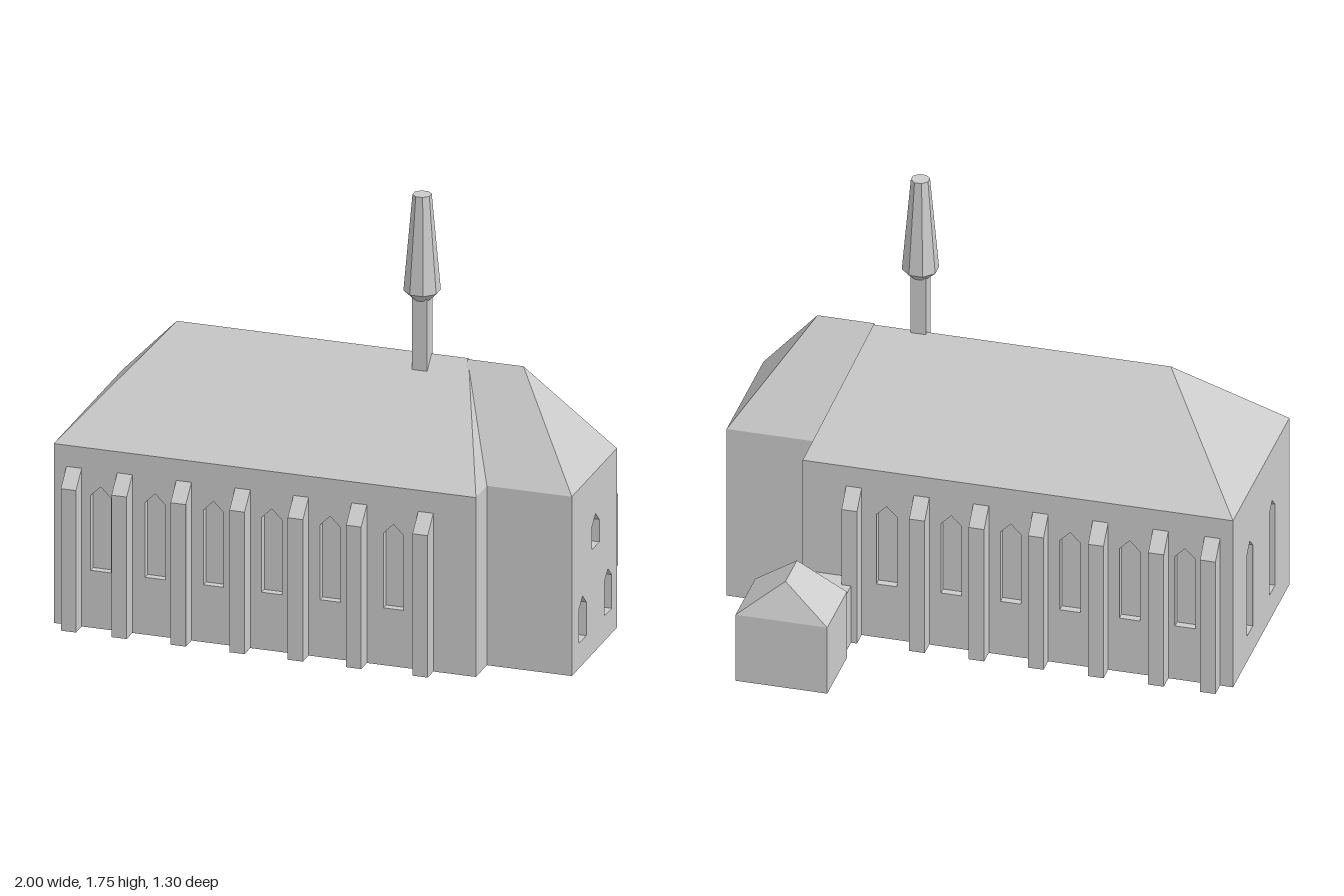
import * as THREE from 'three';

const stone = new THREE.MeshStandardMaterial({ color: 0xcccccc, flatShading: true });
stone.name = 'paleStone';

const RECESS = 0.03;
const EAVE = 0.72, RIDGE = 1.11;
const NAVE = { x0: -1, x1: 0.665, z0: -0.2, z1: 0.585 };
const CHOIR = { x0: 0.5, x1: 1, z0: -0.055, z1: 0.46 };

function add(parent, name, geometry, x = 0, y = 0, z = 0) {
  const mesh = new THREE.Mesh(geometry, stone);
  mesh.name = name;
  mesh.position.set(x, y, z);
  parent.add(mesh);
  return mesh;
}

// Box given by its bounds
function block(parent, name, x0, x1, y0, y1, z0, z1) {
  return add(parent, name, new THREE.BoxGeometry(x1 - x0, y1 - y0, z1 - z0),
    (x0 + x1) / 2, (y0 + y1) / 2, (z0 + z1) / 2);
}

// Wall plate with pointed openings; windows are [centre, sill, shoulder, apex, width]
function wall(parent, name, left, right, windows, x, z, turn) {
  const shape = new THREE.Shape([[left, 0], [right, 0], [right, EAVE], [left, EAVE]]
    .map(p => new THREE.Vector2(...p)));
  for (const [c, sill, shoulder, apex, w] of windows) {
    shape.holes.push(new THREE.Path([
      [c - w / 2, sill], [c - w / 2, shoulder], [c, apex], [c + w / 2, shoulder], [c + w / 2, sill],
    ].map(p => new THREE.Vector2(...p))));
  }
  const geometry = new THREE.ExtrudeGeometry(shape, { depth: RECESS, bevelEnabled: false });
  geometry.translate(0, 0, -RECESS);
  add(parent, name, geometry, x, 0, z).rotation.y = turn;
}

// Hipped roof with its ridge along x
function hipRoof(x0, x1, z0, z1, y0, y1, r0, r1) {
  const zc = (z0 + z1) / 2;
  const A = [x0, y0, z1], B = [x1, y0, z1], C = [x1, y0, z0], D = [x0, y0, z0];
  const E = [r0, y1, zc], F = [r1, y1, zc];
  const corners = [A, B, F, A, F, E, C, D, E, C, E, F, B, C, F, D, A, E];
  const geometry = new THREE.BufferGeometry();
  geometry.setAttribute('position', new THREE.Float32BufferAttribute(corners.flat(), 3));
  geometry.computeVertexNormals();
  return geometry;
}

// Buttress with a sloping top, projecting towards +z
function buttressGeometry() {
  const profile = new THREE.Shape([[-0.01, 0], [0.065, 0], [0.065, 0.57], [0, 0.635], [-0.01, 0.635]]
    .map(p => new THREE.Vector2(...p)));
  const geometry = new THREE.ExtrudeGeometry(profile, { depth: 0.06, bevelEnabled: false });
  geometry.translate(0, 0, -0.03);
  geometry.rotateY(-Math.PI / 2);
  return geometry;
}

export function createModel() {
  const church = new THREE.Group();
  church.name = 'church';

  // Nave
  const nave = new THREE.Group();
  nave.name = 'nave';
  church.add(nave);
  const { x0, x1, z0, z1 } = NAVE;
  block(nave, 'naveCore', x0 + RECESS, x1, 0, EAVE, z0 + RECESS, z1 - RECESS);
  const bays = [-0.815, -0.6, -0.37, -0.14, 0.09, 0.34];
  const tall = c => [c, 0.23, 0.53, 0.57, 0.08];
  wall(nave, 'frontWall', x0, x1, bays.map(tall), 0, z1, 0);
  wall(nave, 'backWall', -x1, -x0, bays.map(c => tall(-c)), 0, z0, Math.PI);
  wall(nave, 'endWall', z0 + RECESS, z1 - RECESS,
    [0.035, 0.345].map(c => [c, 0.11, 0.46, 0.5, 0.08]), x0, 0, -Math.PI / 2);
  add(nave, 'naveRoof', hipRoof(x0, x1, z0, z1, EAVE, RIDGE, -0.65, 0.5));

  // Buttresses on both long sides
  const buttress = buttressGeometry();
  for (const x of [-0.92, -0.72, -0.487, -0.255, -0.025, 0.205, 0.467]) {
    add(nave, 'frontButtress', buttress, x, 0, z1);
    add(nave, 'backButtress', buttress, x, 0, z0).rotation.y = Math.PI;
  }

  // Choir
  const choir = new THREE.Group();
  choir.name = 'choir';
  church.add(choir);
  block(choir, 'choirCore', CHOIR.x0 + 0.1, CHOIR.x1 - RECESS, 0, EAVE, CHOIR.z0, CHOIR.z1);
  wall(choir, 'choirEndWall', -CHOIR.z1, -CHOIR.z0, [
    [-0.188, 0.42, 0.51, 0.55, 0.085],
    [-0.337, 0.1, 0.235, 0.275, 0.085],
    [-0.047, 0.1, 0.235, 0.275, 0.085],
  ], CHOIR.x1, 0, Math.PI / 2);
  add(choir, 'choirRoof',
    hipRoof(CHOIR.x0, CHOIR.x1, CHOIR.z0, CHOIR.z1, EAVE, RIDGE, CHOIR.x0, 0.72));

  // Annex behind, joined by a low passage
  const annex = new THREE.Group();
  annex.name = 'annex';
  church.add(annex);
  block(annex, 'passage', 0.46, 0.705, 0, 0.245, -0.38, -0.19);
  block(annex, 'annexWalls', 0.445, 0.8, 0, 0.285, -0.65, -0.375);
  const annexRoof = hipRoof(-0.1375, 0.1375, -0.1775, 0.1775, 0, 0.14, -0.08, 0.08);
  add(annex, 'annexRoof', annexRoof, 0.6225, 0.285, -0.5125).rotation.y = Math.PI / 2;

  // Ridge turret
  const turret = new THREE.Group();
  turret.name = 'turret';
  turret.position.set(0.325, 0, 0.215);
  church.add(turret);
  block(turret, 'turretShaft', -0.03, 0.03, 1.055, 1.36, -0.03, 0.03);
  const octagon = (top, bottom, height) =>
    new THREE.CylinderGeometry(top, bottom, height, 8, 1, false, Math.PI / 8);
  add(turret, 'spire', octagon(0.036, 0.07, 0.385), 0, 1.5625);
  add(turret, 'spireCollar', octagon(0.07, 0.03, 0.037), 0, 1.3515);

  return church;
}
